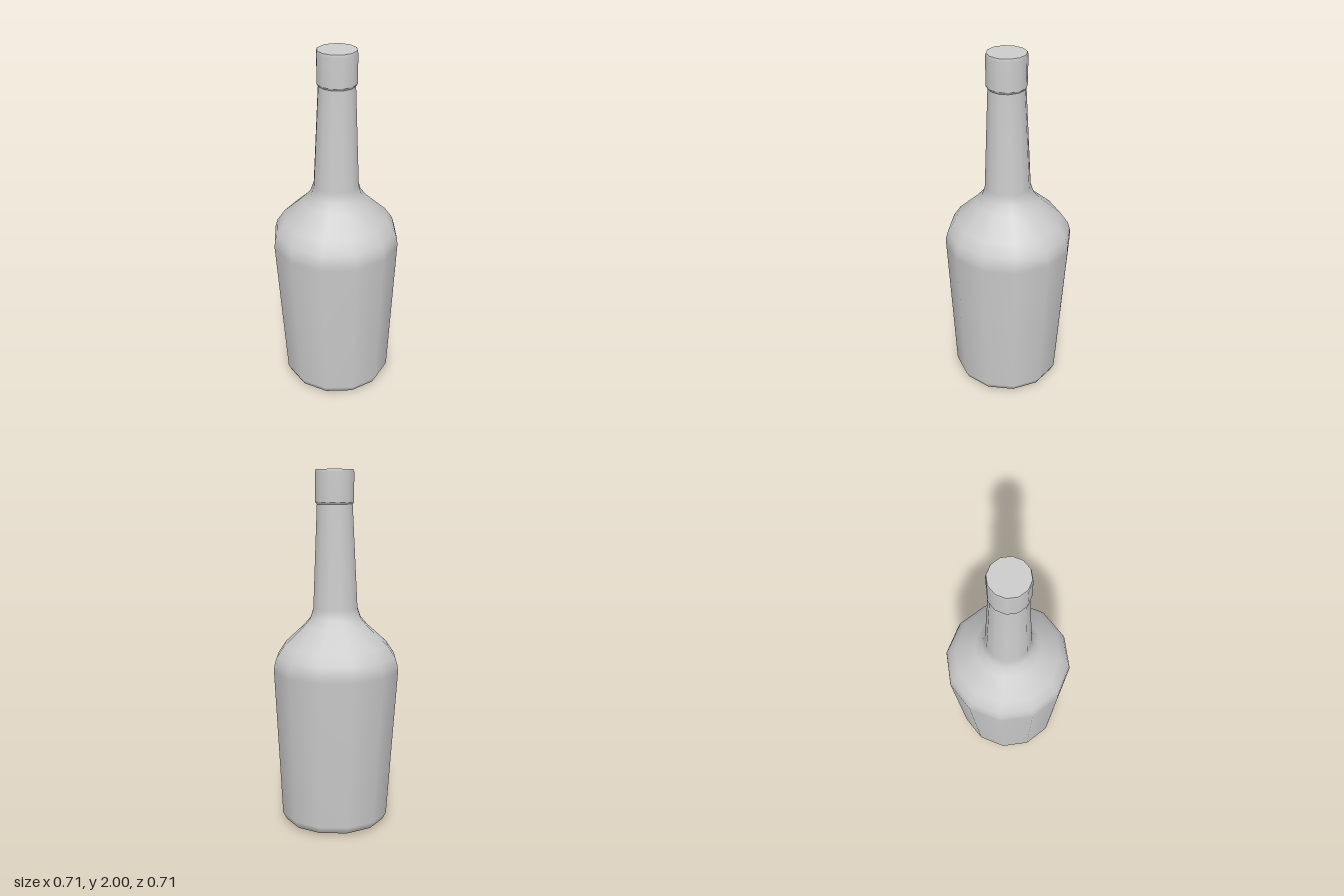
import * as THREE from 'three';

const SIDES = 12;
const material = new THREE.MeshStandardMaterial({ color: 0xcccccc });

// Smooth 12-sided lathe from [radius, y, zOffset] rings, listed bottom to top
function turned(name, rings) {
  const points = rings.map(([r, y]) => new THREE.Vector2(r, y));
  const geometry = new THREE.LatheGeometry(points, SIDES);
  const pos = geometry.attributes.position;
  // each ring may sit slightly off the axis
  for (let i = 0; i < pos.count; i++) {
    pos.setZ(i, pos.getZ(i) + rings[i % rings.length][2]);
  }
  const mesh = new THREE.Mesh(geometry, material);
  mesh.name = name;
  return mesh;
}

export function createModel() {
  const bottle = new THREE.Group();
  bottle.name = 'bottle';

  // Flat underside
  bottle.add(turned('base', [[0, 0, 0.012], [0.24, 0, 0.012]]));

  // Tapered body, rounded shoulder and long neck
  bottle.add(turned('body', [
    [0.24, 0, 0.012],
    [0.287, 0.015, 0.012],
    [0.308, 0.055, 0.012],
    [0.357, 0.89, 0],
    [0.355, 0.93, 0],
    [0.342, 0.975, 0],
    [0.298, 1.04, 0],
    [0.183, 1.145, 0.002],
    [0.145, 1.19, 0.003],
    [0.127, 1.245, 0.005],
    [0.101, 1.815, 0.01],
  ]));

  // Collar around the mouth: lower lip, wall and bevelled rim
  bottle.add(turned('collarLip', [[0.099, 1.81, 0.011], [0.109, 1.825, 0.011]]));
  bottle.add(turned('collar', [
    [0.109, 1.825, 0.011],
    [0.11, 1.985, 0.011],
    [0.106, 2, 0.011],
  ]));
  bottle.add(turned('collarTop', [[0.106, 2, 0.011], [0, 2, 0.011]]));

  return bottle;
}
